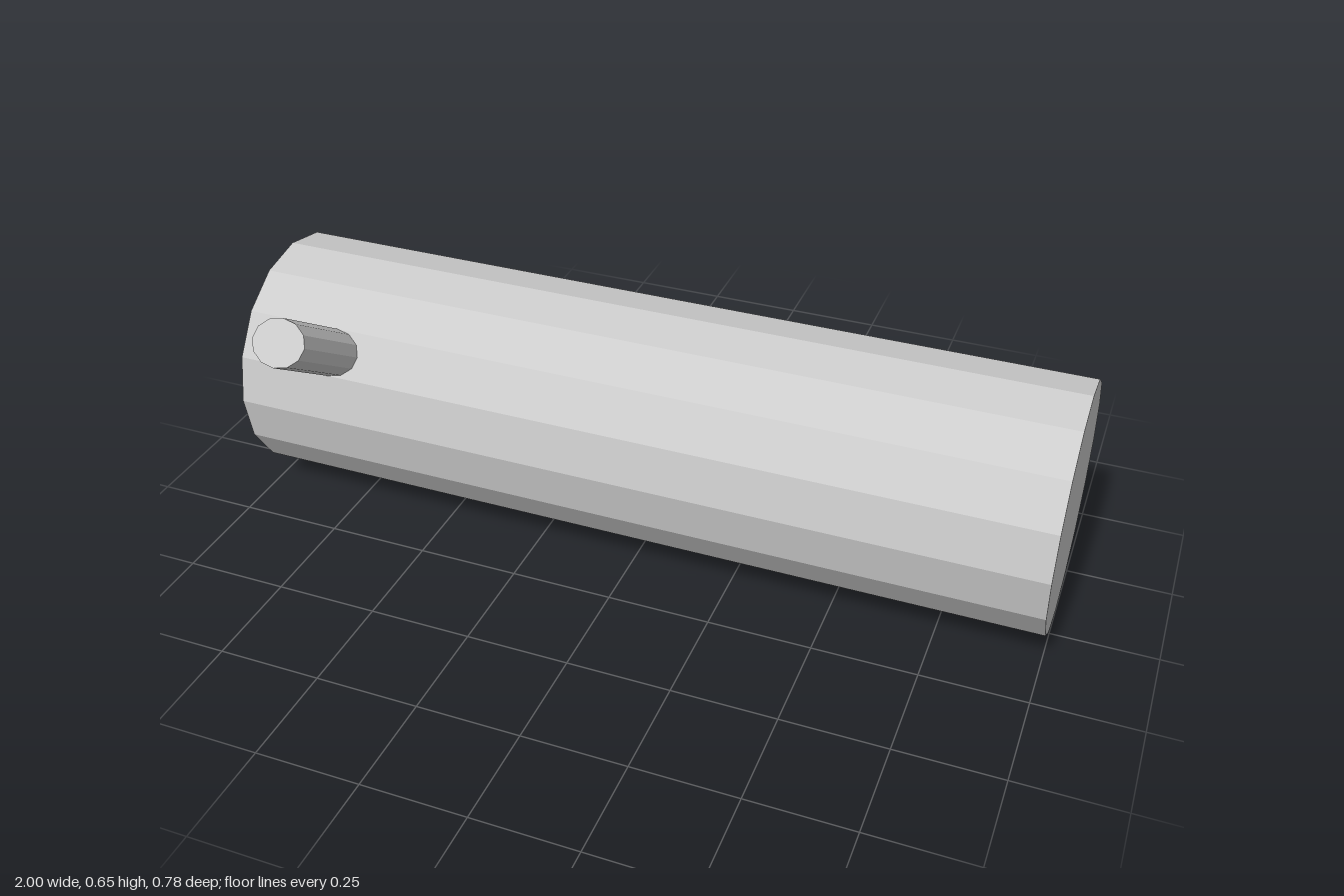
import * as THREE from 'three';

export function createModel() {
  const group = new THREE.Group();
  const material = new THREE.MeshStandardMaterial({ color: 0xcccccc, flatShading: true });

  const radius = 0.298, sides = 16, axisZ = -0.092;
  const facet = Math.PI / sides;

  // Long sixteen-sided barrel lying along x
  const barrel = new THREE.Mesh(new THREE.CylinderGeometry(radius, radius, 2, sides), material);
  barrel.name = 'barrel';
  barrel.rotation.z = Math.PI / 2;
  barrel.position.set(0, radius, axisZ);
  group.add(barrel);

  // Oval peg standing square on one upper front facet, as wide as that facet
  const pegRadius = radius * Math.sin(facet);
  const start = radius * Math.cos(facet) - 0.005, end = 0.544;
  const tilt = Math.PI / 2 - 3 * facet;
  const peg = new THREE.Mesh(new THREE.CylinderGeometry(pegRadius, pegRadius, end - start, 12), material);
  peg.name = 'peg';
  peg.scale.x = 0.069 / pegRadius;
  peg.rotation.x = tilt;
  const middle = (start + end) / 2;
  peg.position.set(-0.758, radius + middle * Math.cos(tilt), axisZ + middle * Math.sin(tilt));
  group.add(peg);

  return group;
}
